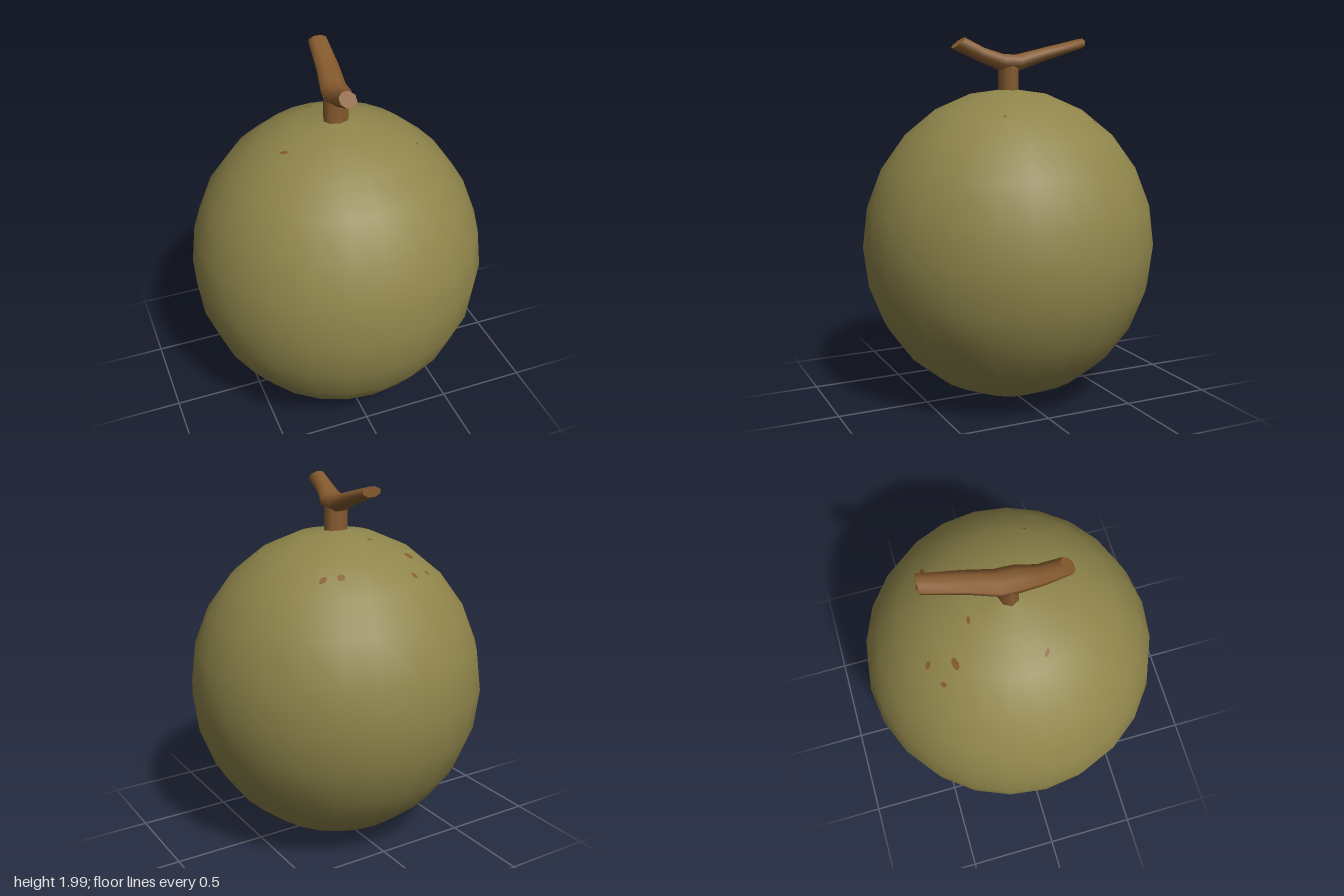
import * as THREE from 'three';

// Closed tube through elliptical rings: [x, y, z, rx, ry, dz], dz slants the ring
function loftRings(rings, sides, material) {
  const pos = [], idx = [];
  for (const [x, y, z, rx, ry, dz] of rings) {
    for (let i = 0; i < sides; i++) {
      const a = ((i + 0.5) / sides) * Math.PI * 2;
      pos.push(x + rx * Math.cos(a), y + ry * Math.sin(a), z + dz * Math.sin(a));
    }
  }
  for (let r = 0; r < rings.length - 1; r++) {
    for (let i = 0; i < sides; i++) {
      const j = (i + 1) % sides;
      const a = r * sides + i, b = r * sides + j;
      idx.push(a, a + sides, b, b, a + sides, b + sides);
    }
  }
  // Flat end caps with their own vertices
  for (const end of [0, rings.length - 1]) {
    const base = pos.length / 3;
    pos.push(...pos.slice(end * sides * 3, (end + 1) * sides * 3));
    for (let i = 1; i < sides - 1; i++) {
      if (end === 0) idx.push(base, base + i, base + i + 1);
      else idx.push(base, base + i + 1, base + i);
    }
  }
  const geo = new THREE.BufferGeometry();
  geo.setAttribute('position', new THREE.Float32BufferAttribute(pos, 3));
  geo.setIndex(idx);
  geo.computeVertexNormals();
  return new THREE.Mesh(geo, material);
}

export function createModel() {
  const group = new THREE.Group();
  const rind = new THREE.MeshStandardMaterial({ name: 'olive rind', color: 0x8f854b });
  const bark = new THREE.MeshStandardMaterial({ name: 'brown stem', color: 0x855a2e });

  // Fruit body: 24-sided, slightly tall sphere
  const profile = [];
  for (let i = 0; i <= 12; i++) {
    const a = (i / 12) * Math.PI;
    profile.push(new THREE.Vector2(0.81 * Math.sin(a), 0.867 - 0.862 * Math.cos(a)));
  }
  const fruit = new THREE.Mesh(new THREE.LatheGeometry(profile, 24), rind);
  fruit.name = 'fruit';
  group.add(fruit);

  // Stem: short stalk carrying a forked crossbar
  const stem = new THREE.Group();
  stem.name = 'stem';
  const stalk = new THREE.Mesh(new THREE.CylinderGeometry(0.07, 0.07, 0.2, 8), bark);
  stalk.name = 'stalk';
  stalk.scale.z = 0.8;
  stalk.position.y = 1.76;
  const crossbar = loftRings([
    [-0.045, 1.972, 0.275, 0.047, 0.03, -0.037],
    [-0.03, 1.912, 0.15, 0.056, 0.038, -0.012],
    [0, 1.869, 0.04, 0.073, 0.048, 0],
    [0.005, 1.867, -0.05, 0.073, 0.047, 0],
    [0.03, 1.913, -0.2, 0.064, 0.035, 0.008],
    [0.055, 1.973, -0.42, 0.055, 0.028, 0],
  ], 8, bark);
  crossbar.name = 'crossbar';
  stem.add(stalk, crossbar);
  group.add(stem);

  // Blemishes: thin spots laid on the rind, [x, z, length, width, turn]
  const spots = [
    [-0.3, -0.415, 0.014, 0.018, 0], [-0.185, -0.465, 0.022, 0.014, -0.4],
    [-0.24, -0.335, 0.034, 0.02, 0.6], [0.225, -0.41, 0.022, 0.02, 0],
    [0.305, -0.37, 0.025, 0.016, -0.3], [-0.07, -0.22, 0.02, 0.01, 0],
    [-0.32, 0.105, 0.024, 0.01, -0.2], [0.375, 0.195, 0.01, 0.008, 0],
  ];
  const blemishes = new THREE.Group();
  blemishes.name = 'blemishes';
  const ray = new THREE.Raycaster();
  const down = new THREE.Vector3(0, -1, 0);
  const front = new THREE.Vector3(0, 0, 1);
  for (const [x, z, length, width, turn] of spots) {
    ray.set(new THREE.Vector3(x, 3, z), down);
    const hit = ray.intersectObject(fruit)[0];
    if (!hit) continue;
    const spot = new THREE.Mesh(new THREE.CircleGeometry(1, 8), bark);
    spot.name = 'blemish';
    spot.scale.set(length, width, 1);
    spot.quaternion.setFromUnitVectors(front, hit.face.normal);
    spot.rotateZ(turn);
    spot.position.copy(hit.point).addScaledVector(hit.face.normal, 0.003);
    blemishes.add(spot);
  }
  group.add(blemishes);
  return group;
}
